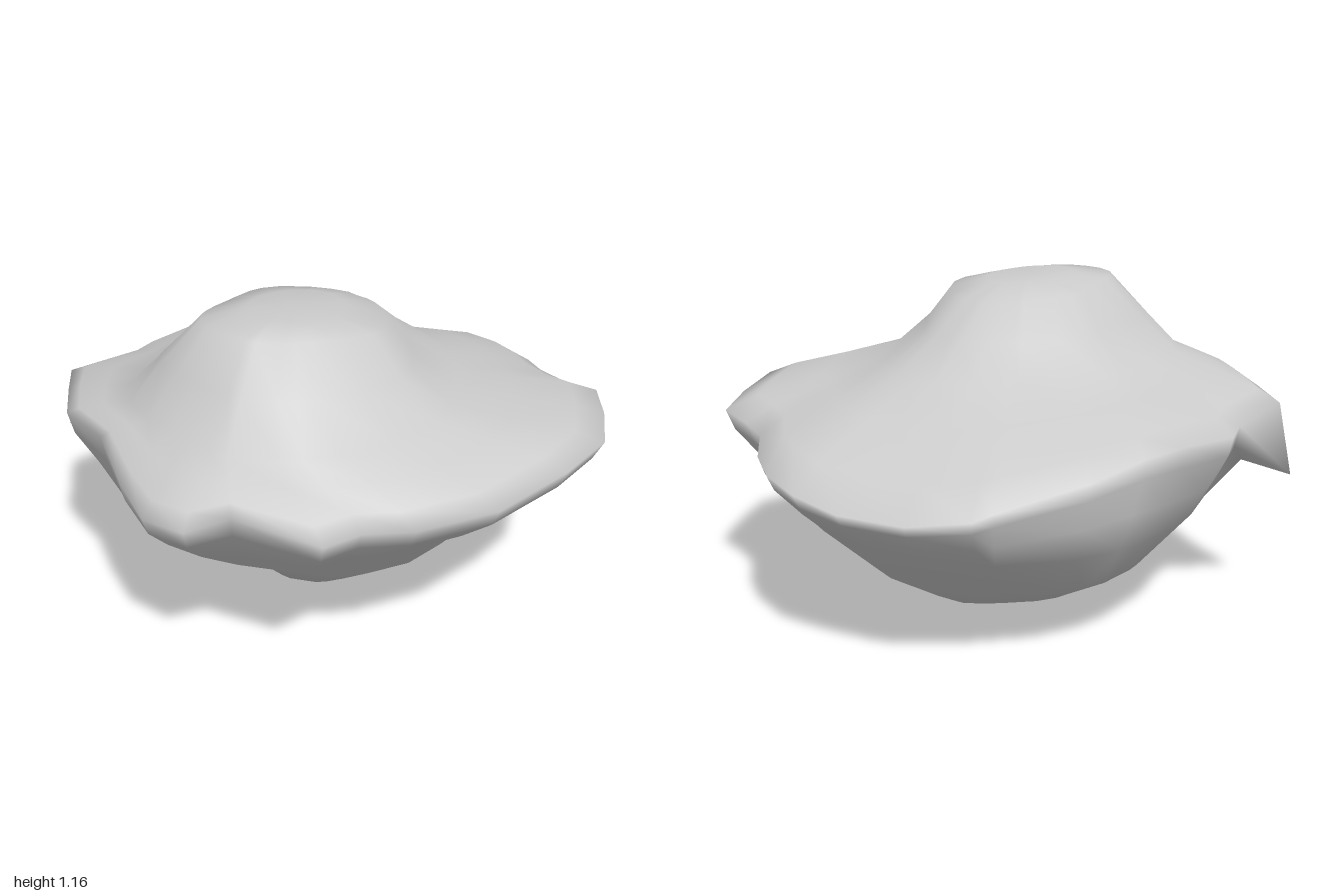
import * as THREE from 'three';

// Widest edge of the boulder, as [x, y, z] running from the left side round the front
const RIM = [
  [1, 0.6, 0.03], [0.95, 0.62, 0.2], [0.87, 0.64, 0.33], [0.76, 0.67, 0.44], [0.7, 0.68, 0.58],
  [0.67, 0.7, 0.72], [0.48, 0.72, 0.84], [0.25, 0.74, 0.95], [0.03, 0.72, 0.93], [-0.28, 0.7, 0.86],
  [-0.53, 0.7, 0.72], [-0.64, 0.7, 0.6], [-0.8, 0.73, 0.58], [-0.88, 0.76, 0.3], [-1, 0.74, 0.22],
  [-1, 0.72, 0.05], [-0.93, 0.75, -0.12], [-0.82, 0.8, -0.32], [-0.75, 0.78, -0.57], [-0.6, 0.76, -0.74],
  [-0.46, 0.74, -0.89], [-0.18, 0.71, -0.87], [-0.07, 0.7, -0.9], [0.2, 0.72, -0.86], [0.33, 0.7, -0.8],
  [0.52, 0.66, -0.73], [0.78, 0.6, -0.56], [0.83, 0.58, -0.52], [0.93, 0.56, -0.35], [0.97, 0.56, -0.12],
].map((p) => new THREE.Vector3(...p));

// Oval cross-section; tilt raises it towards the right side, lump makes it uneven
const oval = (cx, cz, rx, rz, y, tilt = 0, lump = 0) => RIM.map((p, i) => {
  const a = Math.atan2(p.z, p.x);
  const k = 1 + lump * Math.sin(3 * a + y * 9) + lump * 0.6 * Math.sin(5 * a + i * 0.05);
  const x = cx + Math.cos(a) * rx * k;
  return new THREE.Vector3(x, y - tilt * (x - cx), cz + Math.sin(a) * rz * k);
});

// Cross-section between two others, with separate amounts for plan and height
const between = (from, to, t, ty) => from.map((p, i) => {
  const v = p.clone().lerp(to[i], t);
  v.y = THREE.MathUtils.lerp(p.y, to[i].y, ty);
  return v;
});

function boulderGeometry() {
  const shoulder = oval(-0.2, 0.02, 0.6, 0.53, 0.87, 0.02, 0.03);
  const belly = oval(0.06, -0.1, 0.77, 0.68, 0.4, 0, 0.015);
  const underRim = between(RIM, belly, 0.1, 0.22);
  // Low spur sticking out under the back edge
  underRim[20].set(-0.45, 0.49, -0.95);

  const rings = [
    oval(-0.22, 0.02, 0.18, 0.15, 1.15, 0.08),
    oval(-0.22, 0.02, 0.33, 0.28, 1.12, 0.1, 0.05),
    oval(-0.21, 0.01, 0.46, 0.39, 0.99, 0.04, 0.05),
    shoulder,
    between(RIM, shoulder, 0.6, 0.66),
    between(RIM, shoulder, 0.2, 0.3),
    RIM,
    underRim,
    between(RIM, belly, 0.5, 0.6),
    belly,
    oval(0.08, -0.09, 0.5, 0.51, 0.2, 0, 0.03),
    oval(0.02, -0.07, 0.33, 0.31, 0.08, 0.05, 0.04),
  ];

  const n = RIM.length;
  const points = [new THREE.Vector3(-0.22, 1.15, 0), ...rings.flat(), new THREE.Vector3(0.13, 0, -0.08)];
  const last = points.length - 1;
  const index = [];
  for (let j = 0; j < n; j++) {
    const k = (j + 1) % n;
    index.push(0, 1 + k, 1 + j);
    for (let r = 0; r < rings.length - 1; r++) {
      const a = 1 + r * n + j, b = 1 + r * n + k;
      index.push(a, b, a + n, b, b + n, a + n);
    }
    index.push(last, last - n + j, last - n + k);
  }
  const geometry = new THREE.BufferGeometry().setFromPoints(points);
  geometry.setIndex(index);
  geometry.computeVertexNormals();
  return geometry;
}

export function createModel() {
  const group = new THREE.Group();
  group.name = 'rock';
  const boulder = new THREE.Mesh(boulderGeometry(), new THREE.MeshStandardMaterial({ color: 0xcccccc }));
  boulder.name = 'boulder';
  group.add(boulder);
  return group;
}
